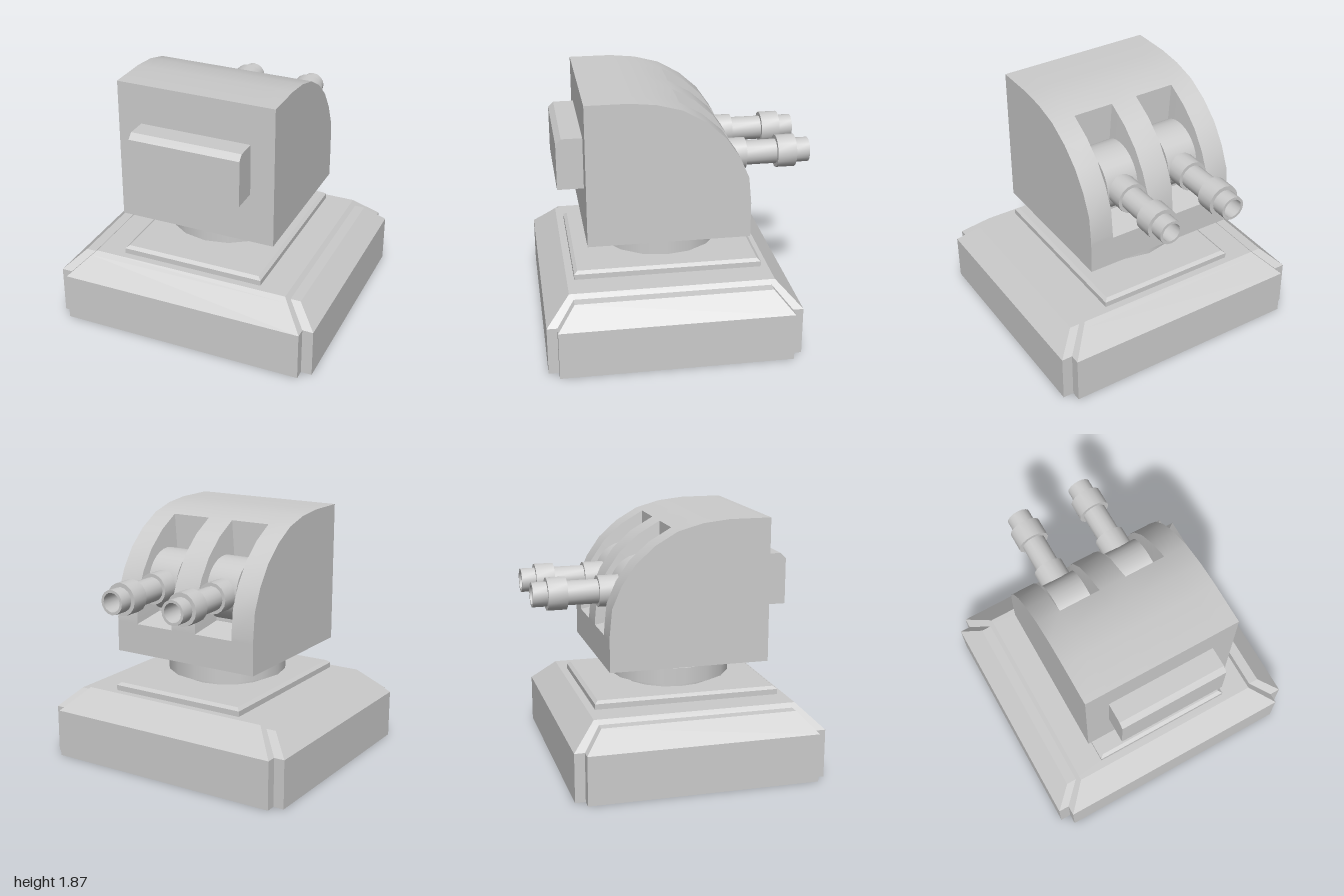
import * as THREE from 'three';
import { toCreasedNormals } from 'three/addons/utils/BufferGeometryUtils.js';

const CREASE = 0.5;
const material = new THREE.MeshStandardMaterial({ color: 0xcccccc, side: THREE.DoubleSide });

function addMesh(parent, name, geometry) {
  const mesh = new THREE.Mesh(geometry, material);
  mesh.name = name;
  parent.add(mesh);
  return mesh;
}

// Collects quads between neighbouring sections of [x, y, z] points
class Skin {
  constructor() { this.data = []; }
  strip(a, b) {
    for (let i = 0; i < a.length - 1; i++) {
      this.triangle(a[i], b[i], b[i + 1]);
      this.triangle(a[i], b[i + 1], a[i + 1]);
    }
  }
  triangle(...corners) {
    const t = new THREE.Triangle(...corners.map(p => new THREE.Vector3(...p)));
    if (t.getArea() > 1e-7) this.data.push(...corners.flat());
  }
  geometry() {
    const g = new THREE.BufferGeometry();
    g.setAttribute('position', new THREE.Float32BufferAttribute(this.data, 3));
    return toCreasedNormals(g, CREASE);
  }
}

// Hollow plinth: notched-corner rings lofted upward, open underneath
function plinthGeometry() {
  const cz = 0.08;
  // height, side panel x and half depth, front panel half width and half depth
  const levels = [
    [0, 1, 0.845, 0.92, 0.92],
    [0.36, 1, 0.845, 0.92, 0.92],
    [0.5, 0.855, 0.715, 0.78, 0.776],
    [0.5, 0.78, 0.715, 0.78, 0.776],
    [0.53, 0.75, 0.715, 0.75, 0.745],
    [0.53, 0.54, 0.69, 0.54, 0.69],
    [0.57, 0.54, 0.69, 0.54, 0.69],
    [0.59, 0.515, 0.665, 0.515, 0.665],
    [0.59, 0, 0, 0, 0],
  ];
  const rings = levels.map(([y, sx, sz, mx, mz]) => {
    const corner = [[sx, sz], [mx, sz], [mx, mz]];
    const ring = [];
    for (const [u, v] of [[1, 1], [-1, 1], [-1, -1], [1, -1]]) {
      const c = corner.map(([x, z]) => [x * u, y, cz + z * v]);
      ring.push(...(u * v > 0 ? c : c.reverse()));
    }
    return [...ring, ring[0]];
  });
  const skin = new Skin();
  // ring order runs clockwise seen from above, so upper ring comes first
  for (let i = 0; i < rings.length - 1; i++) skin.strip(rings[i], rings[i + 1]);
  return skin.geometry();
}

const slotX = 0.2575, axisY = 1.33;

// Rounded housing with two tapered gun slots cut into its back
function housingGeometry() {
  // [z, y] profile: front and roof, slotted back curve, lower back and floor
  const roof = [[0.67, 0.81], [0.67, 1.865], [0.36, 1.865], [0.17, 1.845], [-0.015, 1.795]];
  const back = [[-0.015, 1.795], [-0.18, 1.7], [-0.32, 1.575], [-0.42, 1.43], [-0.49, 1.27], [-0.51, 1.07], [-0.51, 1.04]];
  const low = [[-0.51, 1.04], [-0.51, 0.81], [0.67, 0.81]];
  const full = [...roof, ...back.slice(1), ...low.slice(1)];
  const inner = back.map(([z, y]) => [(z - 0.03) / 2, (y + 1.15) / 2]);
  const at = (points, x) => points.map(([z, y]) => [x, y, z]);
  const skin = new Skin();
  const span = (points, x0, x1) => skin.strip(at(points, x0), at(points, x1));
  const w = 0.592, rim = 0.155, deep = 0.125;

  // solid bands beside and between the slots
  span(full, -w, -slotX - rim);
  span(full, -slotX + rim, slotX - rim);
  span(full, slotX + rim, w);
  for (const cx of [-slotX, slotX]) {
    const [r0, i0, i1, r1] = [cx - rim, cx - deep, cx + deep, cx + rim];
    span(roof, r0, r1);
    span(low, r0, r1);
    // slot walls, floor and ends
    skin.strip(at(back, r0), at(inner, i0));
    span(inner, i0, i1);
    skin.strip(at(inner, i1), at(back, r1));
    const end = (x, xi, k) => [at(back, x)[k], at(inner, xi)[k]];
    const last = back.length - 1;
    skin.strip(end(r0, i0, 0), end(r1, i1, 0));
    skin.strip(end(r0, i0, last).reverse(), end(r1, i1, last).reverse());
  }
  // flat cheeks
  const hub = x => full.map(() => [x, 0.81, 0.67]);
  skin.strip(hub(-w), at(full, -w));
  skin.strip(at(full, w), hub(w));
  return skin.geometry();
}

// Stepped barrel with a hollow muzzle, pointing to -z
function barrelGeometry() {
  const profile = [
    [0.115, 0.3], [0.115, 0.525], [0.09, 0.525], [0.09, 0.755], [0.12, 0.755],
    [0.12, 0.895], [0.09, 0.895], [0.09, 1], [0.07, 1], [0.07, 0.8], [0, 0.8],
  ].map(p => new THREE.Vector2(...p));
  const g = new THREE.LatheGeometry(profile, 16).rotateX(-Math.PI / 2);
  return toCreasedNormals(g, CREASE);
}

// Box on the front face with a chamfered upper edge
function frontBoxGeometry() {
  const shape = new THREE.Shape(
    [[0.64, 1.19], [0.86, 1.19], [0.86, 1.53], [0.82, 1.57], [0.64, 1.57]].map(p => new THREE.Vector2(...p)));
  const g = new THREE.ExtrudeGeometry(shape, { depth: 0.83, bevelEnabled: false });
  return g.rotateY(-Math.PI / 2).translate(0.415, 0, 0);
}

export function createModel() {
  const model = new THREE.Group();
  model.name = 'gunTurret';

  addMesh(model, 'plinth', plinthGeometry());

  // Swivel neck and its collar
  addMesh(model, 'neck', new THREE.CylinderGeometry(0.345, 0.345, 0.22, 16)).position.set(0, 0.7, 0.083);
  addMesh(model, 'neckCollar', new THREE.CylinderGeometry(0.452, 0.452, 0.12, 16)).position.set(0, 0.7, 0.083);

  addMesh(model, 'housing', housingGeometry());
  addMesh(model, 'frontBox', frontBoxGeometry());

  // Twin guns, each on a drum that pivots inside its slot
  const drum = new THREE.CylinderGeometry(0.235, 0.235, 0.248, 32).rotateZ(Math.PI / 2);
  const barrel = barrelGeometry();
  for (const [side, x] of [['left', slotX], ['right', -slotX]]) {
    const gun = new THREE.Group();
    gun.name = side + 'Gun';
    gun.position.set(x, axisY, 0);
    addMesh(gun, side + 'Drum', drum).position.z = -0.165;
    addMesh(gun, side + 'Barrel', barrel);
    model.add(gun);
  }
  return model;
}
